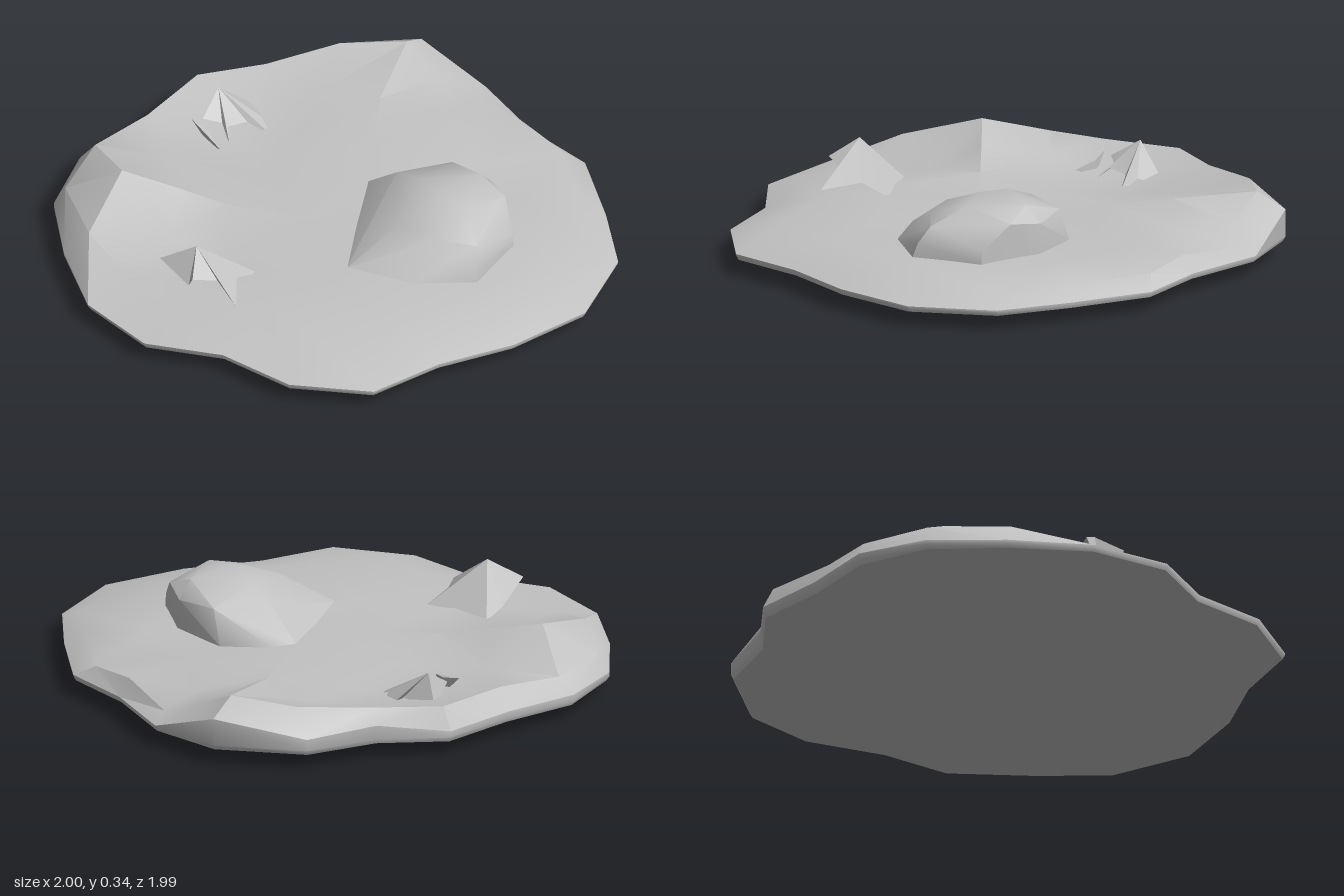
import * as THREE from 'three';
import { toCreasedNormals } from 'three/addons/utils/BufferGeometryUtils.js';
import { ConvexGeometry } from 'three/addons/geometries/ConvexGeometry.js';

const stone = new THREE.MeshStandardMaterial({ color: 0xc3c3c3, side: THREE.DoubleSide });
stone.name = 'grey stone';

// Rim of the ground slab: x, z, top height
const rim = [
  [-0.385, -0.975, 0.1], [-0.09, -0.965, 0.1], [0.2, -0.995, 0.1], [0.43, -0.845, 0.13],
  [0.705, -0.785, 0.12], [0.945, -0.53, 0.18], [1, -0.25, 0.08], [0.93, 0.06, 0.08],
  [0.93, 0.34, 0.08], [0.76, 0.62, 0.08], [0.59, 0.855, 0.08], [0.285, 0.99, 0.08],
  [-0.04, 0.945, 0.08], [-0.32, 0.835, 0.08], [-0.61, 0.785, 0.08], [-0.8, 0.535, 0.08],
  [-0.845, 0.235, 0.08], [-1, -0.02, 0.08], [-0.98, -0.335, 0.08], [-0.825, -0.615, 0.085],
  [-0.64, -0.855, 0.09]
];

// Inner ground: x, z, height
const inner = [
  // back crest
  [-0.61, -0.825, 0.16], [-0.35, -0.93, 0.165], [-0.1, -0.91, 0.18], [0.2, -0.95, 0.185],
  [0.42, -0.815, 0.19], [0.68, -0.69, 0.215], [0.84, -0.5, 0.24],
  // diagonal ridge and its front foot
  [0.56, -0.36, 0.2], [0.38, -0.21, 0.18], [0.2, -0.07, 0.16], [0.74, -0.18, 0.14],
  [0.85, -0.33, 0.16], [0.48, 0.06, 0.135],
  // right and front edge crests
  [0.92, -0.2, 0.105], [0.885, 0.06, 0.145], [0.88, 0.27, 0.125], [0.7, 0.57, 0.122],
  [0.57, 0.78, 0.11], [0.27, 0.9, 0.105], [-0.05, 0.86, 0.11],
  // front plain
  [0.66, 0.01, 0.172], [0.62, 0.15, 0.14], [0.55, 0.4, 0.145], [0.07, 0.68, 0.145],
  [-0.3, 0.6, 0.14], [-0.6, 0.55, 0.13], [-0.3, 0.2, 0.135], [-0.6, 0.25, 0.16],
  [0.1, 0.25, 0.15],
  // left side and hump
  [-0.82, 0, 0.13], [-0.8, -0.3, 0.12], [-0.55, -0.05, 0.135], [-0.76, -0.55, 0.18],
  [-0.48, -0.66, 0.26], [-0.37, -0.49, 0.215], [-0.27, -0.33, 0.17], [-0.5, -0.38, 0.13],
  // back basin
  [-0.1, -0.1, 0.14], [0, -0.4, 0.13], [0.3, -0.5, 0.135], [0.1, -0.7, 0.125],
  [-0.2, -0.68, 0.16], [0.5, -0.58, 0.16]
];

function addPart(group, name, geometry, crease) {
  const mesh = new THREE.Mesh(toCreasedNormals(geometry, crease), stone);
  mesh.name = name;
  group.add(mesh);
}

function fromTriangles(positions) {
  const g = new THREE.BufferGeometry();
  g.setAttribute('position', new THREE.Float32BufferAttribute(positions, 3));
  return g;
}

const hull = points => new ConvexGeometry(points.map(v => new THREE.Vector3(...v)));

function insideRim(x, z) {
  let inside = false;
  rim.forEach(([ax, az], i) => {
    const [bx, bz] = rim[(i + 1) % rim.length];
    if (az > z !== bz > z && x < ax + (bx - ax) * (z - az) / (bz - az)) inside = !inside;
  });
  return inside;
}

// Join scattered ground points: keep each triangle whose circumcircle is empty
function groundSurface() {
  const p = [...rim, ...inner], out = [];
  const n = p.length;
  for (let i = 0; i < n; i++) for (let j = i + 1; j < n; j++) for (let k = j + 1; k < n; k++) {
    const [ax, az] = p[i];
    const bx = p[j][0] - ax, bz = p[j][1] - az, cx = p[k][0] - ax, cz = p[k][1] - az;
    const d = 2 * (bx * cz - bz * cx);
    if (Math.abs(d) < 1e-6) continue;
    const b2 = bx * bx + bz * bz, c2 = cx * cx + cz * cz;
    const ux = (cz * b2 - bz * c2) / d, uz = (bx * c2 - cx * b2) / d;
    const r2 = ux * ux + uz * uz;
    if (p.some((q, m) => m !== i && m !== j && m !== k &&
      (q[0] - ax - ux) ** 2 + (q[1] - az - uz) ** 2 < r2 - 1e-9)) continue;
    if (!insideRim(ax + (bx + cx) / 3, az + (bz + cz) / 3)) continue;
    const tri = d < 0 ? [i, j, k] : [i, k, j];
    for (const t of tri) out.push(p[t][0], p[t][2], p[t][1]);
  }
  return fromTriangles(out);
}

// Edge wall, undercut lip and the shallow cone beneath
function underside() {
  const out = [];
  const rings = ([x, z, y]) => [[x, y, z], [x, 0.075, z], [x * 0.99, 0.057, z * 0.99]];
  rim.forEach((point, i) => {
    const a = rings(point), b = rings(rim[(i + 1) % rim.length]);
    for (let k = 0; k < 2; k++) {
      out.push(...a[k + 1], ...a[k], ...b[k], ...a[k + 1], ...b[k], ...b[k + 1]);
    }
    out.push(0, 0, 0, ...a[2], ...b[2]);
  });
  return fromTriangles(out);
}

// Jagged rock: a peak joined to a ring of points, all as x, y, z
function spire(peak, ring) {
  return fromTriangles(ring.flatMap((a, i) => [...peak, ...ring[(i + 1) % ring.length], ...a]));
}

export function createModel() {
  const group = new THREE.Group();
  group.name = 'rockyGround';
  addPart(group, 'groundSurface', groundSurface(), 0.5);
  addPart(group, 'underside', underside(), 0.7);

  // Large rounded boulder
  addPart(group, 'boulder', hull([
    [-0.2, 0.135, 0.23], [0.21, 0.15, -0.08], [0.29, 0.15, -0.03], [0.42, 0.14, 0.12],
    [0.44, 0.14, 0.35], [0.33, 0.14, 0.57], [0.07, 0.14, 0.64], [-0.11, 0.14, 0.47],
    [0.44, 0.26, 0.34], [0.41, 0.27, 0.17], [0.09, 0.2, 0.63], [0.12, 0.26, 0.59],
    [0.33, 0.19, 0.565], [0.39, 0.28, 0.465], [0, 0.27, 0.3], [0.03, 0.27, 0.46],
    [0.18, 0.34, 0.34], [0.38, 0.325, 0.35], [0.2, 0.32, 0.2], [0.22, 0.27, 0.07],
    [0.2, 0.32, 0.47]
  ]), 0.65);

  // Jagged rocks
  addPart(group, 'leftRock', spire([-0.65, 0.3, -0.1], [
    [-0.54, 0.125, -0.24], [-0.44, 0.125, 0.01], [-0.56, 0.17, 0.02], [-0.67, 0.15, 0.13],
    [-0.65, 0.2, 0.01], [-0.74, 0.23, -0.03], [-0.69, 0.14, -0.1], [-0.74, 0.24, -0.2],
    [-0.64, 0.15, -0.21]
  ]), 0.3);
  addPart(group, 'backRock', spire([0.14, 0.25, -0.78], [
    [0.14, 0.12, -0.82], [0.21, 0.15, -0.72], [0.3, 0.11, -0.71], [0.22, 0.15, -0.64],
    [0.2, 0.11, -0.55], [0.16, 0.15, -0.65], [0.08, 0.16, -0.67], [0.04, 0.12, -0.62],
    [0.08, 0.16, -0.7], [0.03, 0.18, -0.75]
  ]), 0.3);

  // Thin shard standing beside the back rock
  addPart(group, 'backShard', hull([
    [-0.03, 0.15, -0.6], [-0.01, 0.19, -0.77], [0, 0.17, -0.69], [0, 0.11, -0.69]
  ]), 0.3);
  return group;
}
